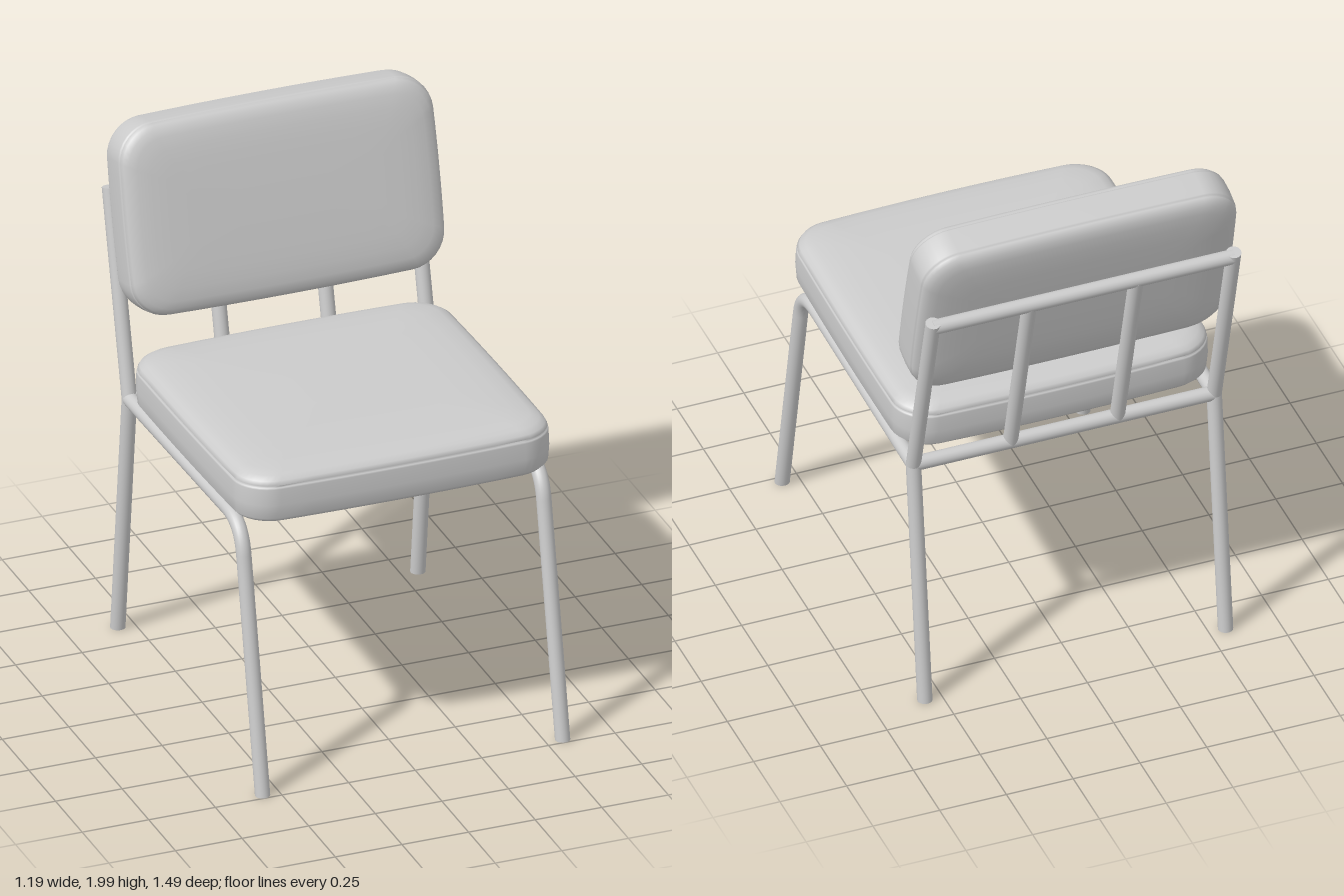
import * as THREE from 'three';

const material = new THREE.MeshStandardMaterial({ color: 0xcccccc });
const V = (x, y, z) => new THREE.Vector3(x, y, z);
const R = 0.027; // tube radius
const X = 0.563; // side frame position

function add(group, name, geometry) {
  const mesh = new THREE.Mesh(geometry, material);
  mesh.name = name;
  group.add(mesh);
  return mesh;
}

// Round bar between two points; anything below the floor is cut flat
function rod(group, name, a, b) {
  const dir = b.clone().sub(a);
  const geo = new THREE.CylinderGeometry(R, R, dir.length(), 20);
  geo.applyQuaternion(new THREE.Quaternion().setFromUnitVectors(V(0, 1, 0), dir.normalize()));
  const mid = a.clone().add(b).multiplyScalar(0.5);
  geo.translate(mid.x, mid.y, mid.z);
  const p = geo.attributes.position;
  for (let i = 0; i < p.count; i++) if (p.getY(i) < 0) p.setY(i, 0);
  return add(group, name, geo);
}

// Rounded rectangle loop with slightly bowed sides
function outline(w, d, r, inset) {
  const hw = w / 2 - inset, hd = d / 2 - inset;
  const rad = Math.max(r - inset * 0.5, 0.04);
  const signs = [[1, 1], [-1, 1], [-1, -1], [1, -1]];
  const pts = [];
  const corner = (k, t) => {
    const [sx, sz] = signs[k % 4], a = (k + t) * Math.PI / 2;
    return [sx * (hw - rad) + rad * Math.cos(a), sz * (hd - rad) + rad * Math.sin(a)];
  };
  for (let k = 0; k < 4; k++) {
    for (let i = 0; i <= 8; i++) pts.push(corner(k, i / 8));
    const a = corner(k, 1), b = corner(k + 1, 0);
    for (let i = 1; i < 8; i++) pts.push([a[0] + (b[0] - a[0]) * i / 8, a[1] + (b[1] - a[1]) * i / 8]);
  }
  return pts.map(([x, z]) => [x * (1 - 0.012 * (z / hd) ** 2), z * (1 - 0.025 * (x / hw) ** 2)]);
}

// Cushion from stacked loops; profile holds [inset, height] from bottom to top
function cushion(w, d, r, profile) {
  const pos = [], idx = [];
  let n = 0;
  for (const [inset, h] of profile) {
    const loop = outline(w, d, r, inset);
    n = loop.length;
    for (const [x, z] of loop) pos.push(x, h, z);
  }
  const last = profile.length - 1, bottom = (last + 1) * n, top = bottom + 1;
  pos.push(0, profile[0][1], 0, 0, profile[last][1] + 0.002, 0);
  for (let i = 0; i < n; i++) {
    const j = (i + 1) % n;
    for (let k = 0; k < last; k++) {
      const a = k * n + i, b = k * n + j;
      idx.push(a, a + n, b, b, a + n, b + n);
    }
    idx.push(i, j, bottom, last * n + i, top, last * n + j);
  }
  const geo = new THREE.BufferGeometry();
  geo.setAttribute('position', new THREE.Float32BufferAttribute(pos, 3));
  geo.setIndex(idx);
  geo.computeVertexNormals();
  return geo;
}

export function createModel() {
  const chair = new THREE.Group();
  chair.name = 'chair';

  // Seat cushion: flat underside, seam, crowned top
  const seat = new THREE.Group();
  seat.name = 'seat';
  seat.position.set(0, 0.995, 0.07);
  seat.rotation.x = -0.026;
  chair.add(seat);
  add(seat, 'seatCushion', cushion(1.19, 1.165, 0.13, [
    [0.2, 0], [0.03, 0], [0.018, 0.002], [0.004, 0.018], [0, 0.07], [0.002, 0.13], [0.004, 0.136],
    [0.011, 0.14], [0.005, 0.144], [0.012, 0.158], [0.03, 0.172], [0.06, 0.182],
    [0.12, 0.189], [0.2, 0.193], [0.32, 0.195],
  ]));
  add(seat, 'seatBoard', new THREE.BoxGeometry(1.04, 0.01, 1.02)).position.y = -0.003;

  // Back cushion: crowned on both faces, with a seam near each
  const half = [[0.002, 0.05], [0.004, 0.056], [0.01, 0.06], [0.005, 0.064],
    [0.012, 0.076], [0.028, 0.088], [0.055, 0.096], [0.1, 0.102], [0.16, 0.105], [0.24, 0.106]];
  const back = add(chair, 'backCushion', cushion(1.19, 0.715, 0.13, [
    ...half.map(([i, h]) => [i, -h]).reverse(), [0, 0], ...half,
  ]));
  back.position.set(0, 1.636, -0.56);
  back.rotation.x = Math.PI / 2 - 0.24;

  // Side frames: front leg bending into the seat rail, rear leg and back post
  const frame = new THREE.Group();
  frame.name = 'frame';
  chair.add(frame);
  const joint = [0.952, -0.525];
  for (const [side, s] of [['left', 1], ['right', -1]]) {
    const x = s * X;
    const bendStart = V(x, 0.86, 0.549), bendEnd = V(x, 0.974, 0.4);
    rod(frame, side + 'FrontLeg', V(x, -0.01, 0.725), bendStart);
    add(frame, side + 'Bend', new THREE.TubeGeometry(
      new THREE.QuadraticBezierCurve3(bendStart, V(x, 0.977, 0.525), bendEnd), 16, R, 20));
    rod(frame, side + 'SeatRail', bendEnd, V(x, ...joint));
    rod(frame, side + 'RearLeg', V(x, -0.01, -0.633), V(x, ...joint));
    rod(frame, side + 'BackPost', V(x, ...joint), V(x, 1.695, -0.712));
    add(frame, side + 'Joint', new THREE.SphereGeometry(R, 20, 12)).position.set(x, ...joint);
    // Upright bars behind the back cushion
    rod(frame, side + 'BackBar', V(s * 0.2, ...joint), V(s * 0.2, 1.672, -0.706));
  }

  // Cross bars: top of back, rear of seat and two below the seat
  const bars = { topBar: [1.672, -0.706], rearBar: joint, middleBar: [0.962, -0.07], frontBar: [0.969, 0.23] };
  for (const [name, yz] of Object.entries(bars)) rod(frame, name, V(-X, ...yz), V(X, ...yz));

  return chair;
}
